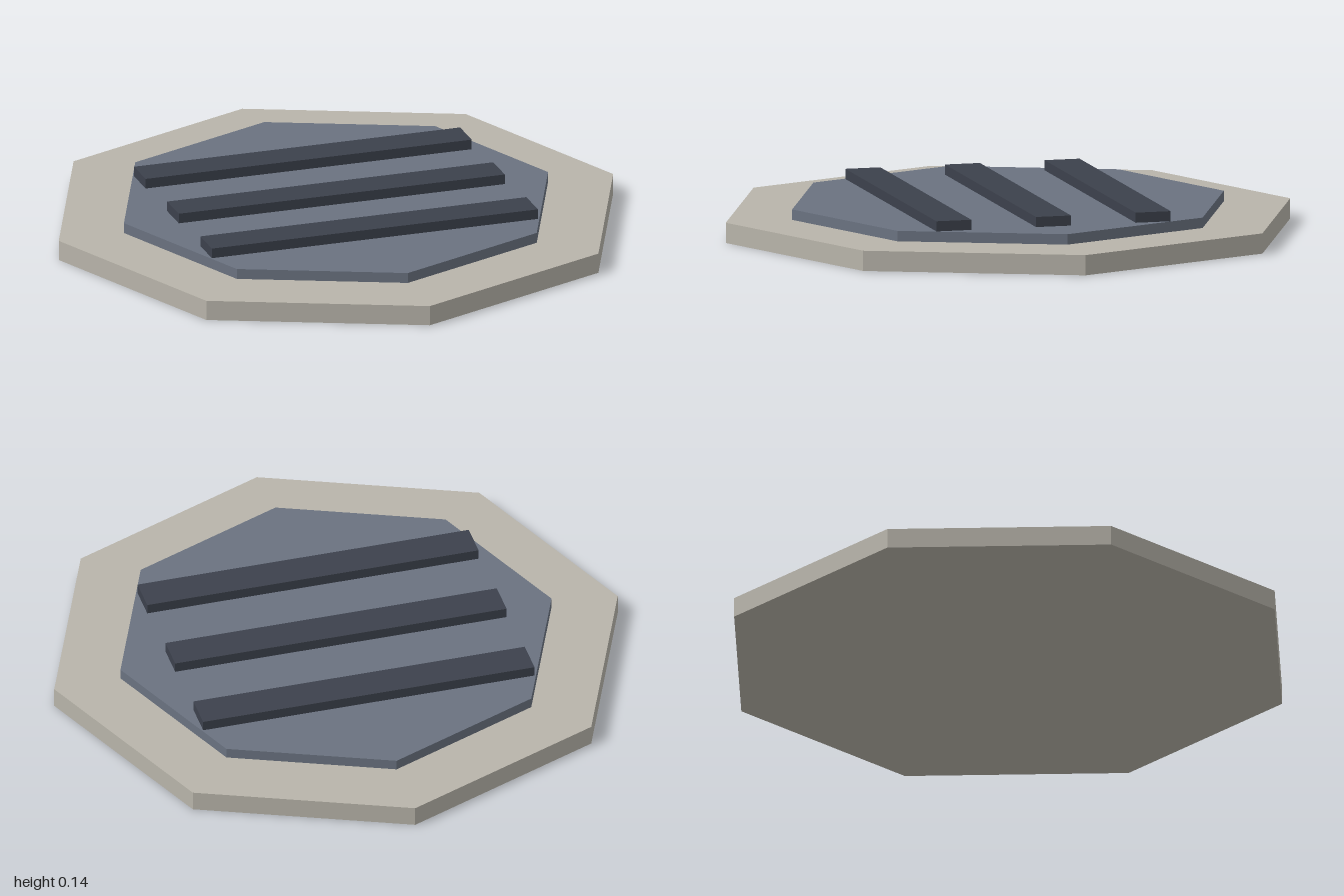
import * as THREE from 'three';

export function createModel() {
  const model = new THREE.Group();
  const stone = new THREE.MeshStandardMaterial({ name: 'pale stone', color: 0xb8b4aa, flatShading: true });
  const steel = new THREE.MeshStandardMaterial({ name: 'blue grey steel', color: 0x6a7280, flatShading: true });
  const iron = new THREE.MeshStandardMaterial({ name: 'dark iron', color: 0x3c414c, flatShading: true });

  function add(name, geometry, material, bottom, height, z = 0) {
    const mesh = new THREE.Mesh(geometry, material);
    mesh.name = name;
    mesh.position.set(0, bottom + height / 2, z);
    model.add(mesh);
  }

  // Octagonal slabs with corners on the x and z axes
  const octagon = (radius, height) => new THREE.CylinderGeometry(radius, radius, height, 8);
  add('baseSlab', octagon(1, 0.07), stone, 0, 0.07);
  add('coverPlate', octagon(0.765, 0.036), steel, 0.07, 0.036);

  // Three raised bars across the cover
  for (const i of [-1, 0, 1]) {
    add(`bar${i + 2}`, new THREE.BoxGeometry(1.176, 0.035, 0.124), iron, 0.106, 0.035, i * 0.353);
  }
  return model;
}
